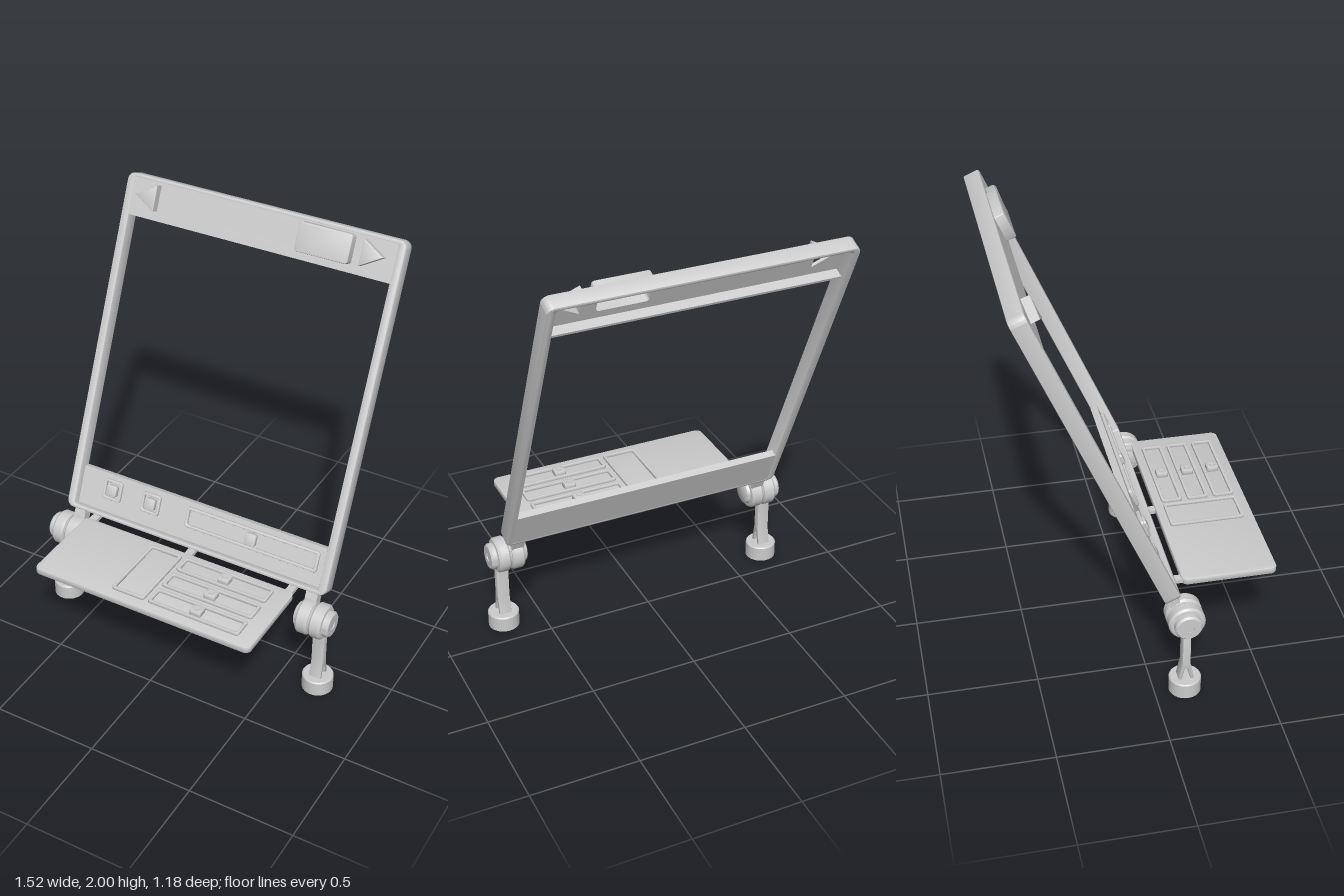
import * as THREE from 'three';
import { toCreasedNormals } from 'three/addons/utils/BufferGeometryUtils.js';

const grey = new THREE.MeshStandardMaterial({ color: 0xcccccc });

function add(parent, name, geometry, x = 0, y = 0, z = 0) {
  const mesh = new THREE.Mesh(toCreasedNormals(geometry, 0.6), grey);
  mesh.name = name;
  mesh.position.set(x, y, z);
  parent.add(mesh);
  return mesh;
}

// Rounded rectangle centred on (cx, cy)
function roundRect(w, h, r, cx = 0, cy = 0) {
  const s = new THREE.Shape(), a = w / 2 - r, b = h / 2 - r;
  s.absarc(cx + a, cy + b, r, 0, Math.PI / 2);
  s.absarc(cx - a, cy + b, r, Math.PI / 2, Math.PI);
  s.absarc(cx - a, cy - b, r, Math.PI, Math.PI * 1.5);
  s.absarc(cx + a, cy - b, r, Math.PI * 1.5, Math.PI * 2);
  s.closePath();
  return s;
}

const polygon = (pts) => new THREE.Shape(pts.map(([x, y]) => new THREE.Vector2(x, y)));

// Extrusion from z = 0 to z = depth, with an optional inward bevel
function slab(shape, depth, bevel = 0, holes = []) {
  shape.holes = holes;
  const g = new THREE.ExtrudeGeometry(shape, {
    depth: depth - 2 * bevel, bevelEnabled: bevel > 0, bevelThickness: bevel,
    bevelSize: bevel, bevelOffset: -bevel, bevelSegments: 2, curveSegments: 6,
  });
  return g.translate(0, 0, bevel);
}

// Raised border with a knob in the middle, standing on z = 0
function control(parent, name, w, h, x, y, z, knob, stud = false) {
  const g = new THREE.Group();
  g.name = name;
  g.position.set(x, y, z);
  parent.add(g);
  add(g, 'border', slab(roundRect(w, h, 0.015), 0.016, 0.004, [roundRect(w - 0.03, h - 0.03, 0.008)]));
  if (knob) add(g, 'knob', slab(roundRect(knob, knob, 0.01), 0.026, 0.004));
  if (stud) add(g, 'stud', new THREE.CylinderGeometry(0.013, 0.013, 0.006, 20).rotateX(Math.PI / 2), 0, 0, 0.027);
}

// Button hollow at the back
function hollowButton(parent, name, outer, inner, height, z) {
  add(parent, name + 'Cap', slab(outer(), 0.014, 0.005), 0, 0, z + height - 0.014);
  add(parent, name + 'Wall', slab(outer(), height - 0.007, 0, [inner()]), 0, 0, z);
}

function buildFrame() {
  const frame = new THREE.Group();
  frame.name = 'tiltedFrame';
  frame.position.set(0, 0.515, 0.12);
  frame.rotation.x = -0.408;
  const H = 1.617, D = 0.075;
  add(frame, 'rim', slab(roundRect(1.38, H, 0.035, 0, H / 2), D, 0.007,
    [roundRect(1.3, H - 0.04, 0.008, 0, H / 2)]), 0, 0, -D);

  // Top bar: thin front plate and lower lip, open at the back
  const low = 1.427, high = H - 0.015, mid = 1.53;
  const triangle = (side, k) => () => {
    const cx = 0.545;
    const pts = [[cx - 0.035 * k, mid - 0.06 * k], [cx + 0.068 * k, mid], [cx - 0.035 * k, mid + 0.06 * k]];
    return polygon(pts.map(([x, y]) => [x * side, y]));
  };
  const button = (w, h) => () => roundRect(w, h, 0.015, 0.333, mid);
  const plate = polygon([[-0.655, low], [0.655, low], [0.655, high], [-0.655, high]]);
  add(frame, 'topPlate', slab(plate, 0.014, 0,
    [triangle(1, 0.8)(), triangle(-1, 0.8)(), button(0.23, 0.106)()]), 0, 0, -0.015);
  add(frame, 'topLip', new THREE.BoxGeometry(1.31, 0.012, 0.058), 0, low + 0.006, -0.031);
  hollowButton(frame, 'rightArrow', triangle(1, 1), triangle(1, 0.8), 0.04, -0.001);
  hollowButton(frame, 'leftArrow', triangle(-1, 1), triangle(-1, 0.8), 0.04, -0.001);
  hollowButton(frame, 'topButton', button(0.256, 0.132), button(0.23, 0.106), 0.045, -0.001);

  // Bottom bar, set back behind the rim
  add(frame, 'bottomBar', new THREE.BoxGeometry(1.31, 0.198, 0.034), 0, 0.109, -0.057);
  for (const x of [-0.475, -0.265]) control(frame, 'squareButton', 0.1, 0.1, x, 0.135, -0.04, 0.054);
  control(frame, 'slider', 0.685, 0.1, 0.27, 0.135, -0.04, 0.056);
  return frame;
}

function buildTray() {
  const tray = new THREE.Group();
  tray.name = 'tray';
  tray.position.set(0, 0.483, 0.37);
  tray.rotation.x = -Math.PI / 2;
  add(tray, 'trayBoard', slab(roundRect(1.115, 0.437, 0.03), 0.032, 0.006));
  control(tray, 'touchPad', 0.168, 0.35, -0.085, 0.005, 0.031, 0);
  for (const z of [0.24, 0.365, 0.49]) control(tray, 'traySlider', 0.46, 0.1, 0.248, 0.37 - z, 0.031, 0.056, true);
  // Tabs joining the tray to the frame
  for (const x of [-0.525, 0, 0.525]) add(tray, 'trayTab', new THREE.BoxGeometry(0.038, 0.085, 0.018), x, 0.245, 0.014);
  return tray;
}

function buildLeg(side) {
  const leg = new THREE.Group();
  leg.name = side > 0 ? 'leftLeg' : 'rightLeg';
  leg.position.z = 0.14;
  leg.scale.x = side;
  const lathe = (pts) => new THREE.LatheGeometry(pts.map(([r, h]) => new THREE.Vector2(r, h)), 40);

  // Hollow cup foot
  add(leg, 'foot', lathe([[0, 0.06], [0.058, 0.06], [0.058, 0], [0.073, 0], [0.073, 0.07], [0.068, 0.076], [0, 0.076]]), 0.686);
  // Stem that forks above the foot
  const stem = polygon([[-0.036, 0.07], [-0.021, 0.07], [-0.006, 0.135], [0.006, 0.135], [0.021, 0.07], [0.036, 0.07],
    [0.018, 0.165], [0.018, 0.34], [-0.018, 0.34], [-0.018, 0.165]]);
  add(leg, 'stem', slab(stem, 0.058, 0.003).rotateY(Math.PI / 2), 0.657);
  // Two-part hinge knuckle on a sideways axis
  add(leg, 'hinge', lathe([[0, 0.568], [0.045, 0.568], [0.056, 0.574], [0.06, 0.588], [0.075, 0.59], [0.083, 0.6], [0.083, 0.64],
    [0.075, 0.65], [0.068, 0.652], [0.068, 0.656], [0.075, 0.658], [0.083, 0.668], [0.083, 0.706], [0.075, 0.716],
    [0.062, 0.718], [0.062, 0.738], [0.054, 0.747], [0.022, 0.747], [0.022, 0.742], [0, 0.742]])
    .rotateZ(-Math.PI / 2), 0, 0.393);
  // Bracket up to the frame
  const bracket = add(leg, 'bracket', new THREE.BoxGeometry(0.058, 0.13, 0.05), 0.62, 0.458, -0.042);
  bracket.rotation.x = -0.408;
  return leg;
}

export function createModel() {
  const model = new THREE.Group();
  model.name = 'tiltedDisplayStand';
  model.add(buildFrame(), buildTray(), buildLeg(1), buildLeg(-1));
  return model;
}
